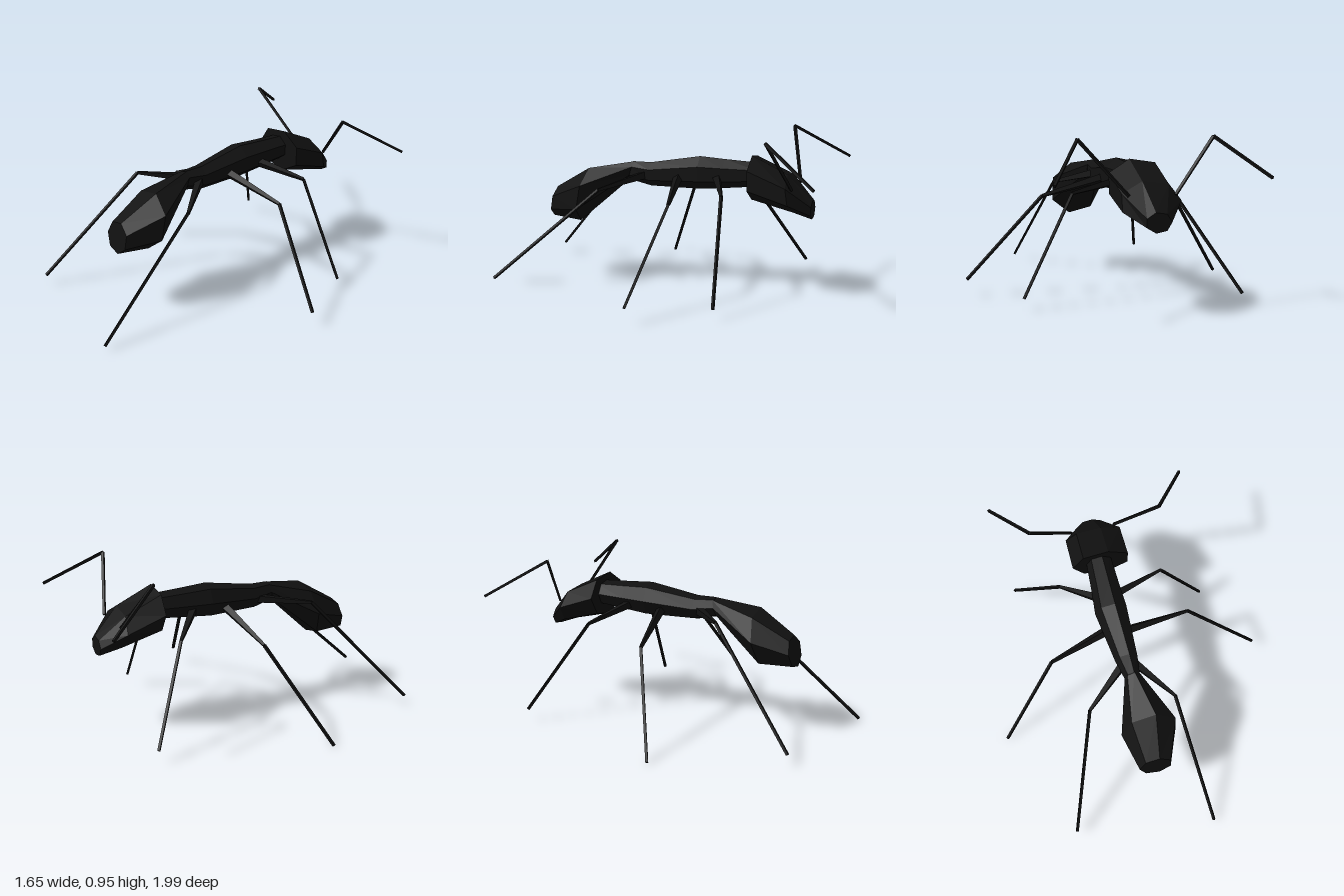
import * as THREE from 'three';

const SIDES = 7;
const PHASE = THREE.MathUtils.degToRad(25);
const material = new THREE.MeshStandardMaterial({ color: 0x111111, flatShading: true });

// Skin seven-sided rings [z, cx, cy, rx, ry, lean] listed from rear (+z) to head (-z)
function loft(name, rings) {
  const pos = [], idx = [];
  for (const [z, cx, cy, rx, ry, lean = 0] of rings) {
    for (let j = 0; j < SIDES; j++) {
      const a = PHASE + (j / SIDES) * Math.PI * 2;
      const dy = Math.sin(a) * ry;
      pos.push(cx + Math.cos(a) * rx, cy + dy, z + lean * dy);
    }
  }
  for (let i = 0; i < rings.length - 1; i++) {
    for (let j = 0; j < SIDES; j++) {
      const a = i * SIDES + j, b = i * SIDES + ((j + 1) % SIDES);
      idx.push(a, a + SIDES, b, b, a + SIDES, b + SIDES);
    }
  }
  const last = (rings.length - 1) * SIDES;
  for (let j = 1; j < SIDES - 1; j++) {
    idx.push(0, j, j + 1, last, last + j + 1, last + j);
  }
  const geo = new THREE.BufferGeometry();
  geo.setAttribute('position', new THREE.Float32BufferAttribute(pos, 3));
  geo.setIndex(idx);
  const flat = geo.toNonIndexed();
  flat.computeVertexNormals();
  const mesh = new THREE.Mesh(flat, material);
  mesh.name = name;
  return mesh;
}

// Tapered four-sided rod between two points
function rod(name, from, to, r0, r1) {
  const a = new THREE.Vector3(...from), b = new THREE.Vector3(...to);
  const dir = b.clone().sub(a);
  const mesh = new THREE.Mesh(new THREE.CylinderGeometry(r1, r0, dir.length(), 4), material);
  mesh.position.copy(a).add(b).multiplyScalar(0.5);
  mesh.quaternion.setFromUnitVectors(new THREE.Vector3(0, 1, 0), dir.normalize());
  mesh.name = name;
  return mesh;
}

// Two-segment limb: base, joint, tip
function limb(name, [base, joint, tip], r0, r1, r2) {
  const g = new THREE.Group();
  g.name = name;
  g.add(rod('upperSegment', base, joint, r0, r1), rod('lowerSegment', joint, tip, r1, r2));
  return g;
}

export function createModel() {
  const model = new THREE.Group();
  model.name = 'ant';

  // Body
  model.add(
    loft('abdomen', [
      [0.695, 0.005, 0.48, 0.096, 0.093, -0.16],
      [0.49, 0.017, 0.538, 0.167, 0.167, -0.18],
      [0.21, -0.02, 0.69, 0.047, 0.057, -0.3],
    ]),
    loft('thorax', [
      [0.22, -0.02, 0.692, 0.045, 0.055, -0.3],
      [0.09, -0.027, 0.675, 0.068, 0.072],
      [-0.21, -0.048, 0.698, 0.097, 0.1],
      [-0.36, -0.048, 0.7, 0.086, 0.088],
      [-0.56, -0.049, 0.705, 0.076, 0.072],
    ]),
    loft('head', [
      [-0.528, -0.035, 0.692, 0.175, 0.132],
      [-0.755, -0.035, 0.613, 0.175, 0.112, 0.15],
      [-0.88, -0.037, 0.52, 0.073, 0.056],
    ])
  );

  // Legs: base, knee, foot
  const legs = {
    frontLeftLeg: [[-0.02, 0.68, -0.31], [0.3, 0.63, -0.43], [0.585, 0.07, -0.47]],
    middleLeftLeg: [[-0.02, 0.675, -0.08], [0.4, 0.585, -0.155], [0.82, 0.105, -0.05]],
    rearLeftLeg: [[0, 0.675, 0.11], [0.2, 0.6, 0.345], [0.305, 0.035, 0.99]],
    frontRightLeg: [[-0.08, 0.68, -0.3], [-0.305, 0.57, -0.485], [-0.58, 0.08, -0.745]],
    middleRightLeg: [[-0.06, 0.67, -0.12], [-0.45, 0.52, -0.045], [-0.815, 0.01, 0.2]],
    rearRightLeg: [[-0.05, 0.665, 0.11], [-0.3, 0.675, 0.345], [-0.515, 0.075, 0.88]],
  };
  for (const [name, points] of Object.entries(legs)) model.add(limb(name, points, 0.03, 0.011, 0.01));

  // Antennae, mirrored about the head's own centre line
  for (const [name, s] of [['leftAntenna', 1], ['rightAntenna', -1]]) {
    const x = (d) => -0.037 + s * d;
    const points = [[x(0.13), 0.65, -0.78], [x(0.382), 0.945, -0.685], [x(0.587), 0.745, -0.99]];
    model.add(limb(name, points, 0.01, 0.011, 0.01));
  }
  return model;
}
